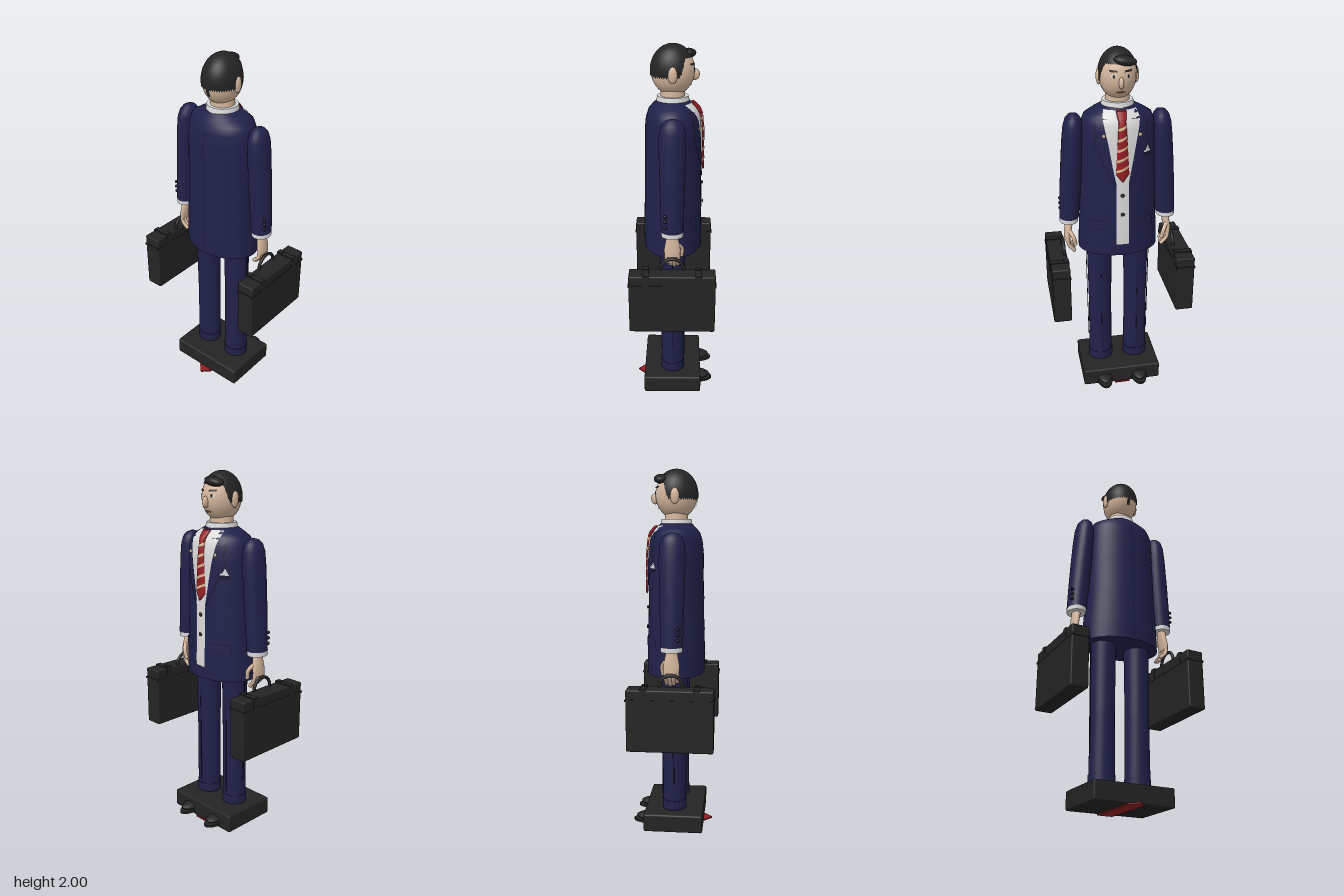
import * as THREE from 'three';
import { RoundedBoxGeometry } from 'three/addons/geometries/RoundedBoxGeometry.js';

const mat = (name, color) => Object.assign(new THREE.MeshStandardMaterial({ color }), { name });
const M = {
  navy: mat('navy suit', 0x20214a), seam: mat('dark navy trim', 0x15162f), black: mat('black leather', 0x242424),
  skin: mat('skin', 0xd6b79d), white: mat('white shirt', 0xdadada), red: mat('red tie', 0x941f26),
  tan: mat('tan stripe', 0xd6b98c), lip: mat('lips', 0x7a4a42),
};

function add(parent, name, geo, material, x = 0, y = 0, z = 0) {
  const m = new THREE.Mesh(geo, material);
  m.name = name;
  m.position.set(x, y, z);
  parent.add(m);
  return m;
}
const ball = (rx, ry, rz) => new THREE.SphereGeometry(1, 24, 16).scale(rx, ry, rz);
const box = (x, y, z) => new THREE.BoxGeometry(x, y, z);

function makeGeo(pos, idx) {
  const g = new THREE.BufferGeometry();
  g.setAttribute('position', new THREE.Float32BufferAttribute(pos, 3));
  g.setIndex(idx);
  g.computeVertexNormals();
  return g;
}

// Closed body through elliptical sections [y, rx, rz, cx, cz], lowest first
function loft(sections, n = 40) {
  const pos = [], idx = [], rings = sections.length;
  const ring = ([y, rx, rz, cx = 0, cz = 0]) => {
    for (let j = 0; j < n; j++) {
      const a = (j / n) * Math.PI * 2;
      pos.push(cx + rx * Math.cos(a), y, cz + rz * Math.sin(a));
    }
  };
  sections.forEach(ring);
  for (let i = 0; i < rings - 1; i++) for (let j = 0; j < n; j++) {
    const a = i * n + j, b = i * n + (j + 1) % n;
    idx.push(a, a + n, b, b, a + n, b + n);
  }
  for (const top of [false, true]) {
    const s = sections[top ? rings - 1 : 0], start = pos.length / 3;
    ring(s);
    pos.push(s[3] || 0, s[0], s[4] || 0);
    for (let j = 0; j < n; j++) {
      const p = start + j, q = start + (j + 1) % n;
      idx.push(start + n, top ? q : p, top ? p : q);
    }
  }
  return makeGeo(pos, idx);
}

function lerpRows(rows, y) {
  let i = 0;
  while (i < rows.length - 2 && y > rows[i + 1][0]) i++;
  const t = THREE.MathUtils.clamp((y - rows[i][0]) / (rows[i + 1][0] - rows[i][0]), 0, 1);
  return [1, 2].map(k => rows[i][k] + (rows[i + 1][k] - rows[i][k]) * t);
}

// Jacket sections and the depth of the jacket and head surfaces
const JACKET = [[0.89, 0.222, 0.16], [1.0, 0.219, 0.161], [1.2, 0.207, 0.155], [1.4, 0.204, 0.151],
  [1.55, 0.2, 0.15], [1.62, 0.195, 0.143], [1.66, 0.18, 0.13], [1.685, 0.14, 0.11], [1.71, 0.09, 0.085]];
const onJacket = (x, y) => {
  const [rx, rz] = lerpRows(JACKET, y);
  return rz * Math.sqrt(Math.max(0.02, 1 - (x / rx) ** 2));
};
const onHead = (x, y) => 0.115 * Math.sqrt(Math.max(0.02, 1 - (x / 0.098) ** 2 - ((y - 1.863) / 0.128) ** 2));

// Thin panel following a surface; rows are [y, xMin, xMax], lowest first; dir -1 is the face side
function panel(surface, rows, lift = 0.004, { dir = -1, bulge = 0, slope = 0 } = {}) {
  const pos = [], idx = [], nx = 8, ny = 16, y0 = rows[0][0], y1 = rows[rows.length - 1][0];
  for (let i = 0; i <= ny; i++) for (let j = 0; j <= nx; j++) {
    const y = y0 + (y1 - y0) * i / ny, [a, b] = lerpRows(rows, y), t = j / nx;
    const x = a + (b - a) * t, yy = y + slope * x;
    pos.push(x, yy, dir * (surface(x, yy) + lift + bulge * (1 - (2 * t - 1) ** 2)));
    if (i < ny && j < nx) {
      const p = i * (nx + 1) + j, q = p + nx + 1;
      if (dir < 0) idx.push(p, q, p + 1, p + 1, q, q + 1);
      else idx.push(p, p + 1, q, p + 1, q + 1, q);
    }
  }
  return makeGeo(pos, idx);
}
const mirrorRows = (rows, s) => rows.map(([y, a, b]) => (s > 0 ? [y, a, b] : [y, -b, -a]));

function buildHead(g) {
  add(g, 'neck', new THREE.CylinderGeometry(0.062, 0.066, 0.1, 32), M.skin, 0, 1.74);
  add(g, 'collar', new THREE.CylinderGeometry(0.082, 0.088, 0.032, 40), M.white, 0, 1.718);
  add(g, 'head', ball(0.098, 0.128, 0.115), M.skin, 0, 1.863);
  add(g, 'nose', ball(0.013, 0.03, 0.024), M.skin, 0, 1.843, -0.115);
  add(g, 'mouth', panel(onHead, [[1.787, -0.015, 0.015], [1.793, -0.028, 0.028], [1.8, -0.012, 0.012]], 0.003), M.lip);
  for (const s of [-1, 1]) {
    add(g, 'ear', ball(0.014, 0.043, 0.024), M.skin, s * 0.098, 1.855, 0);
    add(g, 'eyeWhite', panel(onHead, mirrorRows([[1.868, 0.03, 0.044], [1.876, 0.02, 0.054], [1.884, 0.03, 0.044]], s), 0.002), M.white);
    add(g, 'iris', panel(onHead, mirrorRows([[1.868, 0.033, 0.041], [1.876, 0.03, 0.044], [1.884, 0.033, 0.041]], s), 0.004), M.black);
    add(g, 'eyebrow', panel(onHead, mirrorRows([[1.897, 0.016, 0.055], [1.907, 0.022, 0.06]], s), 0.004), M.black);
  }
  // Hair cap: low at the nape, rising to a hairline above the brow
  const cap = new THREE.SphereGeometry(1, 56, 20), p = cap.attributes.position, uv = cap.attributes.uv;
  for (let i = 0; i < p.count; i++) {
    const phi = uv.getX(i) * Math.PI * 2;
    const rise = THREE.MathUtils.smoothstep(-Math.sin(phi), 0.25, 0.65);
    const th = (1 - uv.getY(i)) * Math.acos((-0.03 + 0.098 * rise) / 0.137);
    p.setXYZ(i, -0.103 * Math.cos(phi) * Math.sin(th), 0.137 * Math.cos(th), 0.119 * Math.sin(phi) * Math.sin(th));
  }
  cap.computeVertexNormals();
  add(g, 'hair', cap, M.black, 0, 1.863);
  add(g, 'forelock', ball(0.06, 0.025, 0.04), M.black, -0.025, 1.947, -0.08).rotation.z = 0.15;
  add(g, 'napeHair', panel(onHead, [[1.8, -0.009, 0.009], [1.85, -0.011, 0.011]], 0.004, { dir: 1 }), M.black);
}

function buildJacket(g) {
  add(g, 'jacket', loft(JACKET, 56), M.navy);
  add(g, 'backSeam', panel(onJacket, [[0.9, -0.002, 0.002], [1.62, -0.002, 0.002]], 0.002, { dir: 1 }), M.seam);
  add(g, 'shirtFront', panel(onJacket, [[1.32, -0.034, 0.034], [1.66, -0.1, 0.1], [1.7, -0.085, 0.085]], 0.003), M.white);
  add(g, 'shirtPlacket', panel(onJacket, [[0.96, -0.034, 0.034], [1.33, -0.034, 0.034]], 0.005), M.white);
  for (const y of [1.14, 1.25]) add(g, 'frontButton', ball(0.011, 0.011, 0.005), M.black, 0, y, -onJacket(0, y) - 0.006);
  // Tie with knot and slanted stripes
  add(g, 'tie', panel(onJacket, [[1.33, -0.003, 0.003], [1.37, -0.036, 0.036], [1.65, -0.02, 0.02]], 0.006, { bulge: 0.012 }), M.red);
  add(g, 'tieKnot', loft([[1.64, 0.015, 0.012, 0, -0.147], [1.67, 0.024, 0.014, 0, -0.133], [1.7, 0.027, 0.013, 0, -0.106]], 20), M.red);
  for (let i = 0; i < 5; i++) {
    const y = 1.395 + i * 0.055, w = 0.034 - i * 0.0032;
    add(g, 'tieStripe', panel(onJacket, [[y, -w, w], [y + 0.014, -w, w]], 0.008, { bulge: 0.012, slope: -0.45 }), M.tan);
  }
  for (const s of [-1, 1]) {
    const lapel = [[1.3, 0.033, 0.038], [1.54, 0.074, 0.145], [1.57, 0.08, 0.118], [1.585, 0.084, 0.14], [1.67, 0.098, 0.125]];
    add(g, 'lapelEdge', panel(onJacket, mirrorRows(lapel.map(([y, a, b]) => [y, a, b + 0.004]), s), 0.005), M.seam);
    add(g, 'lapel', panel(onJacket, mirrorRows(lapel, s), 0.007), M.navy);
    add(g, 'lapelPin', ball(0.01, 0.01, 0.005), M.tan, s * 0.095, 1.58, -onJacket(0.095, 1.58) - 0.01);
    add(g, 'hipPocketEdge', panel(onJacket, mirrorRows([[1.045, 0.075, 0.175], [1.1, 0.075, 0.175]], s), 0.003), M.seam);
    add(g, 'hipPocketFlap', panel(onJacket, mirrorRows([[1.049, 0.077, 0.173], [1.097, 0.077, 0.173]], s), 0.006), M.navy);
  }
  add(g, 'breastPocket', panel(onJacket, [[1.455, -0.16, -0.09], [1.475, -0.16, -0.09]], 0.004), M.seam);
  for (const [a, b] of [[-0.157, -0.123], [-0.13, -0.095]]) {
    const c = (a + b) / 2;
    add(g, 'pocketSquare', panel(onJacket, [[1.475, a, b], [1.51, c - 0.001, c + 0.001]], 0.005), M.white);
  }
}

function buildArm(g, s) {
  add(g, 'sleeve', loft([[1.075, 0.054, 0.06], [1.2, 0.057, 0.062], [1.35, 0.058, 0.066], [1.52, 0.056, 0.07],
    [1.6, 0.052, 0.067], [1.64, 0.042, 0.055], [1.66, 0.027, 0.035], [1.667, 0.008, 0.01]]
    .map(([y, rx, rz]) => [y, rx, rz, s * (0.272 - (y - 1.075) * 0.065)])), M.navy);
  add(g, 'shirtCuff', loft([[1.05, 0.051, 0.058, s * 0.274], [1.08, 0.052, 0.059, s * 0.273]]), M.white);
  for (const y of [1.115, 1.145, 1.175]) add(g, 'sleeveButton', ball(0.009, 0.009, 0.009), M.seam, s * 0.317, y, 0.036);
  // Hand with gently curled fingers
  add(g, 'palm', loft([[0.935, 0.015, 0.04, s * 0.288], [0.97, 0.02, 0.044, s * 0.285], [1.01, 0.021, 0.037, s * 0.279],
    [1.055, 0.024, 0.028, s * 0.274]], 24), M.skin);
  const finger = (name, pts, r) => {
    const path = new THREE.CatmullRomCurve3(pts.map(([x, y, z]) => new THREE.Vector3(s * x, y, z)));
    add(g, name, new THREE.TubeGeometry(path, 10, r, 10), M.skin);
    const e = pts[pts.length - 1];
    add(g, name + 'Tip', ball(r, r, r), M.skin, s * e[0], e[1], e[2]);
  };
  [0, 1, 2, 3].forEach(i => {
    const z = -0.032 + i * 0.021, drop = [0.006, 0, 0.004, 0.016][i];
    finger('finger', [[0.287, 0.96, z], [0.282, 0.915, z], [0.252, 0.868 + drop, z * 0.9]], 0.0105);
  });
  finger('thumb', [[0.276, 1.0, -0.03], [0.256, 0.965, -0.052], [0.247, 0.925, -0.048]], 0.0115);
}

function buildBriefcase(g, s) {
  const x = s * 0.348;
  add(g, 'case', new RoundedBoxGeometry(0.1, 0.335, 0.46, 3, 0.008), M.black, x, 0.7, 0);
  add(g, 'lidBand', box(0.104, 0.01, 0.468), M.black, x, 0.81, 0);
  for (const z of [-0.14, 0.14]) {
    add(g, 'strap', box(0.104, 0.065, 0.033), M.black, x, 0.84, z);
    add(g, 'latch', box(0.03, 0.012, 0.03), M.black, s * 0.312, 0.871, z);
  }
  add(g, 'handle', new THREE.TorusGeometry(0.062, 0.009, 12, 40).rotateY(Math.PI / 2), M.black, s * 0.312, 0.868, 0);
}

function buildLeg(g, s) {
  const x = s * 0.105;
  add(g, 'trouserLeg', loft([[0.12, 0.069, 0.065, x], [0.5, 0.066, 0.066, x], [0.91, 0.071, 0.072, x]]), M.navy);
  add(g, 'trouserCuff', loft([[0.115, 0.072, 0.068, x], [0.168, 0.072, 0.068, x]]), M.navy);
  add(g, 'ankle', new THREE.CylinderGeometry(0.045, 0.045, 0.04, 24), M.skin, x, 0.115, 0);
  add(g, 'sideStripe', box(0.003, 0.62, 0.008), M.seam, s * 0.179, 0.58, 0).rotation.z = s * -0.01;
  add(g, 'creaseLine', box(0.003, 0.68, 0.006), M.seam, x, 0.53, -0.067);
  add(g, 'shoe', ball(0.05, 0.026, 0.11), M.black, x, 0.052, -0.11);
  add(g, 'sole', new THREE.CylinderGeometry(1, 1, 1, 32).scale(0.05, 0.014, 0.115), M.black, x, 0.028, -0.119);
}

export function createModel() {
  const root = new THREE.Group();
  const part = (name, build, ...args) => {
    const g = new THREE.Group();
    g.name = name;
    build(g, ...args);
    root.add(g);
  };
  part('headGroup', buildHead);
  part('jacketGroup', buildJacket);
  for (const s of [-1, 1]) {
    part('arm', buildArm, s);
    part('briefcase', buildBriefcase, s);
    part('leg', buildLeg, s);
  }
  add(root, 'base', new RoundedBoxGeometry(0.46, 0.102, 0.33, 3, 0.01), M.black, 0, 0.057, 0);
  // Pointed red marker lying under the base
  const tip = new THREE.Shape([[-0.045, -0.168], [0.045, -0.168], [0.045, 0.168], [0, 0.212], [-0.045, 0.168]]
    .map(([x, y]) => new THREE.Vector2(x, y)));
  const marker = new THREE.ExtrudeGeometry(tip, { depth: 0.008, bevelEnabled: false }).rotateX(Math.PI / 2);
  add(root, 'baseMarker', marker, M.red, 0, 0.0085, 0);
  return root;
}
